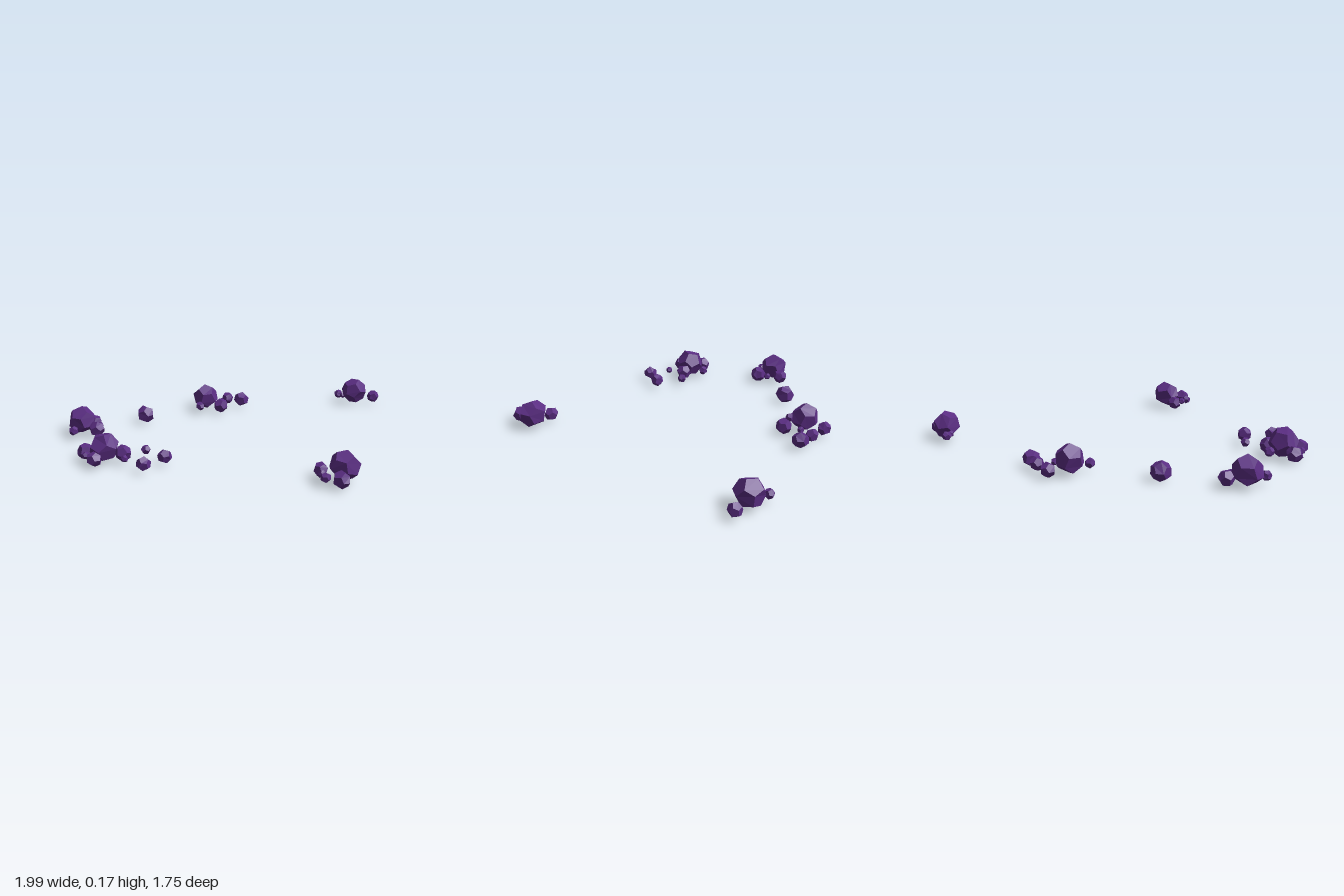
import * as THREE from 'three';

const purple = new THREE.MeshStandardMaterial({ color: 0x5a2d82, flatShading: true });
purple.name = 'purple stone';

// Seeded random numbers
function seeded(seed) {
  let s = seed * 7919 + 17;
  return () => {
    s = (s * 16807) % 2147483647;
    return s / 2147483647;
  };
}

// Slightly irregular faceted stone: corners shared by several faces move together
function stoneGeometry(radius, seed) {
  const rand = seeded(seed);
  for (let i = 0; i < 5; i++) rand();
  const geometry = new THREE.DodecahedronGeometry(radius * 1.04, 0);
  const pos = geometry.attributes.position;
  const shifts = new Map();
  const v = new THREE.Vector3();
  for (let i = 0; i < pos.count; i++) {
    v.fromBufferAttribute(pos, i);
    const key = [v.x, v.y, v.z].map((n) => Math.round((n / radius) * 100)).join();
    if (!shifts.has(key)) shifts.set(key, 0.95 + 0.1 * rand());
    v.multiplyScalar(shifts.get(key));
    pos.setXYZ(i, v.x, v.y, v.z);
  }
  geometry.rotateX(rand() * 6.28);
  geometry.rotateY(rand() * 6.28);
  geometry.rotateZ(rand() * 6.28);
  geometry.computeVertexNormals();
  return geometry;
}

// Each cluster lists its stones as [x, z, radius]
const clusters = {
  backCluster: [
    [-0.125, -0.725, 0.075], [-0.083, -0.838, 0.038], [0.03, -0.79, 0.036], [0.11, -0.743, 0.044],
    [-0.05, -0.623, 0.044], [-0.18, -0.636, 0.027], [-0.024, -0.72, 0.019],
  ],
  backLeftCluster: [
    [0.842, -0.635, 0.075], [0.762, -0.71, 0.026], [0.777, -0.67, 0.019], [0.96, -0.596, 0.037],
  ],
  loneStone: [[-0.535, -0.538, 0.051]],
  backRightCluster: [
    [-0.92, -0.39, 0.077], [-0.842, -0.447, 0.04], [-0.82, -0.37, 0.019], [-0.845, -0.307, 0.044],
    [-0.975, -0.302, 0.026],
  ],
  rightCluster: [
    [-0.84, 0.145, 0.077], [-0.933, 0.088, 0.044], [-0.81, 0.05, 0.026], [-0.94, 0.157, 0.019],
    [-0.9, 0.227, 0.039], [-0.745, 0.16, 0.043], [-0.623, 0.136, 0.025], [-0.75, 0.26, 0.019],
    [-0.543, 0.273, 0.038], [-0.665, 0.36, 0.038],
  ],
  frontCluster: [
    [0.275, 0.725, 0.077], [0.174, 0.665, 0.039], [0.16, 0.73, 0.019], [0.16, 0.78, 0.026],
    [0.224, 0.828, 0.044],
  ],
};

export function createModel() {
  const model = new THREE.Group();
  model.name = 'scatteredStones';
  let seed = 1;
  for (const [name, stones] of Object.entries(clusters)) {
    const cluster = new THREE.Group();
    cluster.name = name;
    for (const [x, z, r] of stones) {
      const big = r > 0.06;
      const stone = new THREE.Mesh(stoneGeometry(r, seed++), purple);
      stone.name = big ? 'boulder' : 'pebble';
      stone.position.set(x, big ? 0.09 : 0.054, z);
      cluster.add(stone);
    }
    model.add(cluster);
  }
  return model;
}
